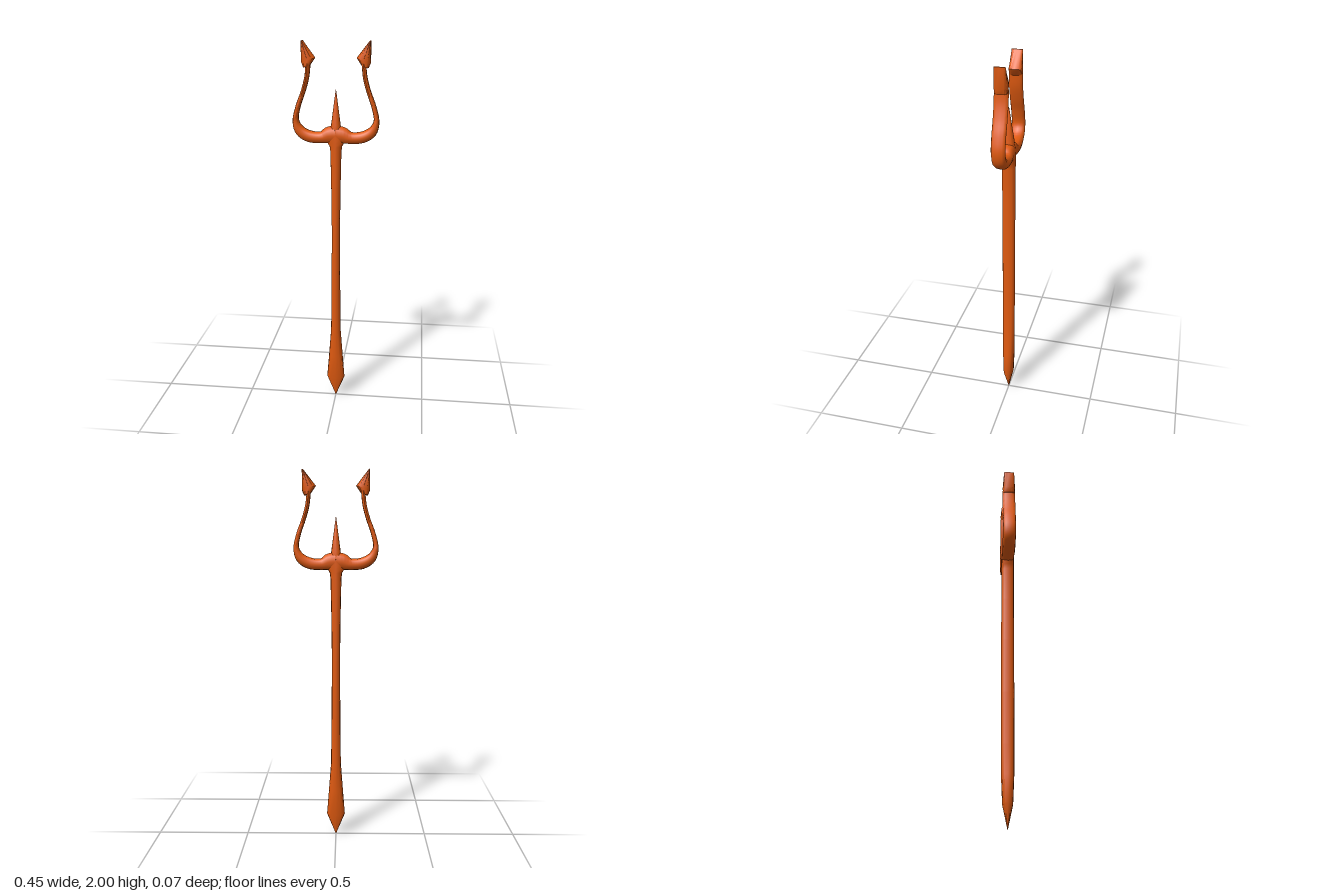
import * as THREE from 'three';
import { toCreasedNormals } from 'three/addons/utils/BufferGeometryUtils.js';

const SIDES = 12;
const soft = v => Math.sign(v) * Math.pow(Math.abs(v), 0.8);

// Skin closed cross-sections; each ring is [x1, y1, x2, y2, halfDepth]
function loft(rings, crease) {
  const pos = [], idx = [];
  for (const [x1, y1, x2, y2, d] of rings) {
    for (let i = 0; i < SIDES; i++) {
      const t = (i / SIDES) * Math.PI * 2, u = (1 + soft(Math.cos(t))) / 2;
      pos.push(x1 + (x2 - x1) * u, y1 + (y2 - y1) * u, d * soft(Math.sin(t)));
    }
  }
  const last = rings.length - 1;
  for (let k = 0; k < last; k++) {
    for (let i = 0; i < SIDES; i++) {
      const a = k * SIDES + i, b = k * SIDES + (i + 1) % SIDES;
      idx.push(a, a + SIDES, b, b, a + SIDES, b + SIDES);
    }
  }
  // End caps
  for (let i = 1; i < SIDES - 1; i++) {
    const e = last * SIDES;
    idx.push(0, i, i + 1, e, e + i + 1, e + i);
  }
  const g = new THREE.BufferGeometry();
  g.setAttribute('position', new THREE.Float32BufferAttribute(pos, 3));
  g.setIndex(idx);
  return toCreasedNormals(g, crease);
}

// Upright rings from [y, halfWidth, halfDepth]
const upright = list => list.map(([y, w, d]) => [-w, y, w, y, d]);

// Flip rings to the other side, keeping the winding
const mirror = rings => rings.map(([x1, y1, x2, y2, d]) => [-x2, y2, -x1, y1, d]);

// Rings square to a curve through [x, y, halfWidth]
function sweep(points, depth, steps) {
  const curve = new THREE.CatmullRomCurve3(points.map(p => new THREE.Vector3(p[0], p[1], p[2])));
  const rings = [];
  for (let k = 0; k <= steps; k++) {
    const p = curve.getPoint(k / steps), t = curve.getTangent(k / steps);
    const l = Math.hypot(t.x, t.y), nx = (t.y / l) * p.z, ny = (-t.x / l) * p.z;
    rings.push([p.x - nx, p.y - ny, p.x + nx, p.y + ny, depth]);
  }
  return rings;
}

export function createModel() {
  const group = new THREE.Group();
  const orange = new THREE.MeshStandardMaterial({ color: 0xe05a10 });
  orange.name = 'orange';
  const add = (name, geometry) => {
    const mesh = new THREE.Mesh(geometry, orange);
    mesh.name = name;
    group.add(mesh);
  };

  // Pole with a pointed foot
  add('shaft', loft(upright([
    [0, 0.001, 0.001], [0.12, 0.05, 0.027], [0.26, 0.039, 0.033], [0.42, 0.027, 0.034],
    [0.7, 0.024, 0.035], [1.0, 0.022, 0.035], [1.25, 0.025, 0.035], [1.44, 0.029, 0.036],
    [1.47, 0.033, 0.036], [1.49, 0.045, 0.036], [1.53, 0.05, 0.036]
  ]), 0.8));

  // Middle point
  add('centreSpike', loft(upright([[1.54, 0.028, 0.032], [1.58, 0.025, 0.03], [1.76, 0.001, 0.001]]), 0.8));

  // Curved outer prongs, thinning towards the barbs
  const prong = sweep([
    [0, 1.53, 0.048], [0.035, 1.527, 0.044], [0.075, 1.515, 0.031], [0.14, 1.52, 0.03],
    [0.187, 1.548, 0.026], [0.209, 1.6, 0.015], [0.195, 1.675, 0.012], [0.168, 1.75, 0.011],
    [0.149, 1.82, 0.011], [0.141, 1.89, 0.011]
  ], 0.036, 45);
  // Leaf-shaped barbs ending in a narrow ridge
  const barb = [
    [0.13, 1.88, 0.165, 1.868, 0.033], [0.104, 1.917, 0.177, 1.895, 0.036],
    [0.169, 2.0, 0.176, 2.0, 0.029]
  ];
  for (const [side, flip] of [['left', r => r], ['right', mirror]]) {
    add(side + 'Prong', loft(flip(prong), 1.1));
    add(side + 'Barb', loft(flip(barb), 0.7));
  }
  return group;
}
